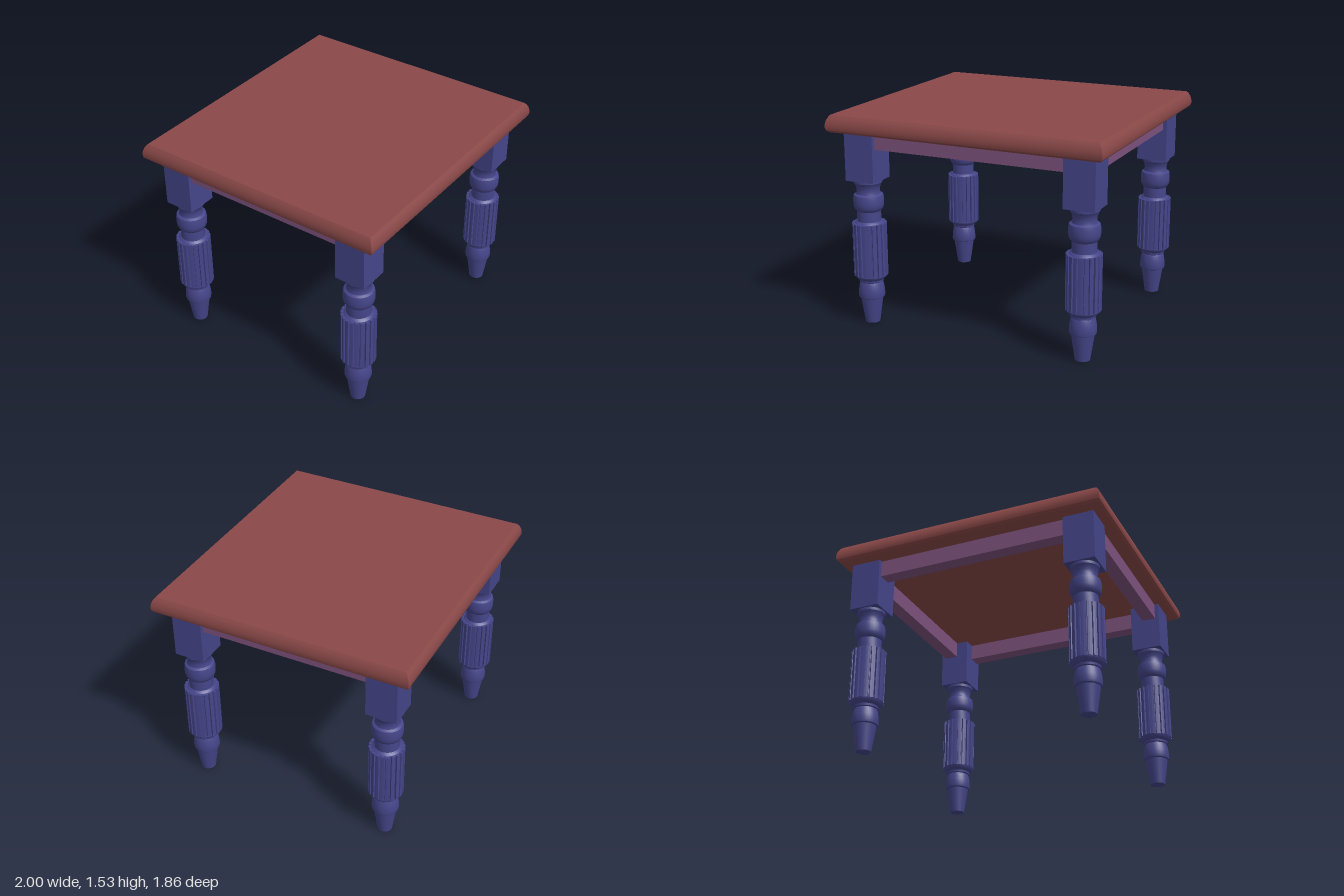
import * as THREE from 'three';
import { toCreasedNormals } from 'three/addons/utils/BufferGeometryUtils.js';

const material = (color) => new THREE.MeshStandardMaterial({ color });
const wood = { top: material(0x8a4848), leg: material(0x45458a), apron: material(0x7d527d) };

function add(parent, name, geometry, mat, x = 0, y = 0, z = 0) {
  const mesh = new THREE.Mesh(geometry, mat);
  mesh.name = name;
  mesh.position.set(x, y, z);
  parent.add(mesh);
  return mesh;
}

// Rectangular slab with a moulded edge: mitred rings, one per [inset, y] step
function slabGeometry(halfX, halfZ, edge) {
  const pos = [], index = [];
  for (const [inset, y] of edge) {
    const x = halfX - inset, z = halfZ - inset;
    pos.push(-x, y, z, x, y, z, x, y, -z, -x, y, -z);
  }
  for (let i = 0; i < edge.length - 1; i++) {
    for (let j = 0; j < 4; j++) {
      const a = i * 4 + j, b = i * 4 + (j + 1) % 4;
      index.push(a, b, b + 4, a, b + 4, a + 4);
    }
  }
  const t = (edge.length - 1) * 4;
  index.push(0, 2, 1, 0, 3, 2, t, t + 1, t + 2, t, t + 2, t + 3);
  const g = new THREE.BufferGeometry();
  g.setAttribute('position', new THREE.Float32BufferAttribute(pos, 3));
  g.setIndex(index);
  return toCreasedNormals(g, 0.5);
}

// Turned section from [radius, y] points, bottom to top
function turned(points) {
  const g = new THREE.LatheGeometry(points.map(([r, y]) => new THREE.Vector2(r, y)), 32);
  return toCreasedNormals(g, 0.6);
}

// Drum with narrow vertical grooves between flat-topped ribs
function flutedGeometry(radius, depth, height, count) {
  const shape = new THREE.Shape();
  const rib = [[0, radius - depth], [0.16, radius - depth], [0.24, radius], [0.58, radius], [0.92, radius]];
  for (let i = 0; i < count; i++) {
    rib.forEach(([t, r], k) => {
      const a = ((i + t) / count) * Math.PI * 2;
      const x = r * Math.cos(a), y = r * Math.sin(a);
      if (i === 0 && k === 0) shape.moveTo(x, y);
      else shape.lineTo(x, y);
    });
  }
  shape.closePath();
  const g = new THREE.ExtrudeGeometry(shape, { depth: height, bevelEnabled: false });
  g.rotateX(-Math.PI / 2);
  return g;
}

export function createModel() {
  const table = new THREE.Group();
  table.name = 'table';

  // Top with rounded edge
  const edge = [[0.02, 1.41], [0.004, 1.425], [0, 1.44], [0, 1.465], [0.006, 1.49], [0.016, 1.512], [0.03, 1.53]];
  add(table, 'tabletop', slabGeometry(1, 0.93, edge), wood.top);

  // Leg geometries, shared by all four legs
  const foot = turned([
    [0, 0], [0.052, 0], [0.08, 0.185], [0.09, 0.19], [0.094, 0.205], [0.091, 0.25], [0.084, 0.29],
    [0.078, 0.305], [0.086, 0.31], [0.088, 0.325], [0.1, 0.335], [0.114, 0.35], [0.116, 0.36], [0, 0.36],
  ]);
  const neck = turned([
    [0, 0.735], [0.108, 0.735], [0.094, 0.75], [0.084, 0.757], [0.084, 0.83], [0.095, 0.84], [0.104, 0.86],
    [0.107, 0.88], [0.107, 0.92], [0.102, 0.945], [0.085, 0.955], [0.08, 0.975], [0.083, 1.0],
    [0.093, 1.025], [0.1, 1.035], [0.1, 1.06], [0, 1.06],
  ]);
  const fluted = flutedGeometry(0.121, 0.014, 0.385, 20);
  const block = new THREE.BoxGeometry(0.22, 0.355, 0.22);

  const legX = 0.81, legZ = 0.715;
  for (const sx of [-1, 1]) {
    for (const sz of [-1, 1]) {
      const leg = new THREE.Group();
      leg.name = (sz > 0 ? 'front' : 'back') + (sx > 0 ? 'Left' : 'Right') + 'Leg';
      leg.position.set(sx * legX, 0, sz * legZ);
      add(leg, 'foot', foot, wood.leg);
      add(leg, 'flutedDrum', fluted, wood.leg, 0, 0.357, 0);
      add(leg, 'neck', neck, wood.leg);
      add(leg, 'block', block, wood.leg, 0, 1.2325, 0);
      table.add(leg);
    }
  }

  // Apron rails between the leg blocks
  const railY = 1.35, railH = 0.12, railT = 0.1;
  for (const s of [-1, 1]) {
    add(table, s > 0 ? 'frontApron' : 'backApron',
      new THREE.BoxGeometry(2 * legX - 0.2, railH, railT), wood.apron, 0, railY, s * (legZ + 0.03));
    add(table, s > 0 ? 'leftApron' : 'rightApron',
      new THREE.BoxGeometry(railT, railH, 2 * legZ - 0.2), wood.apron, s * (legX + 0.03), railY, 0);
  }
  return table;
}
